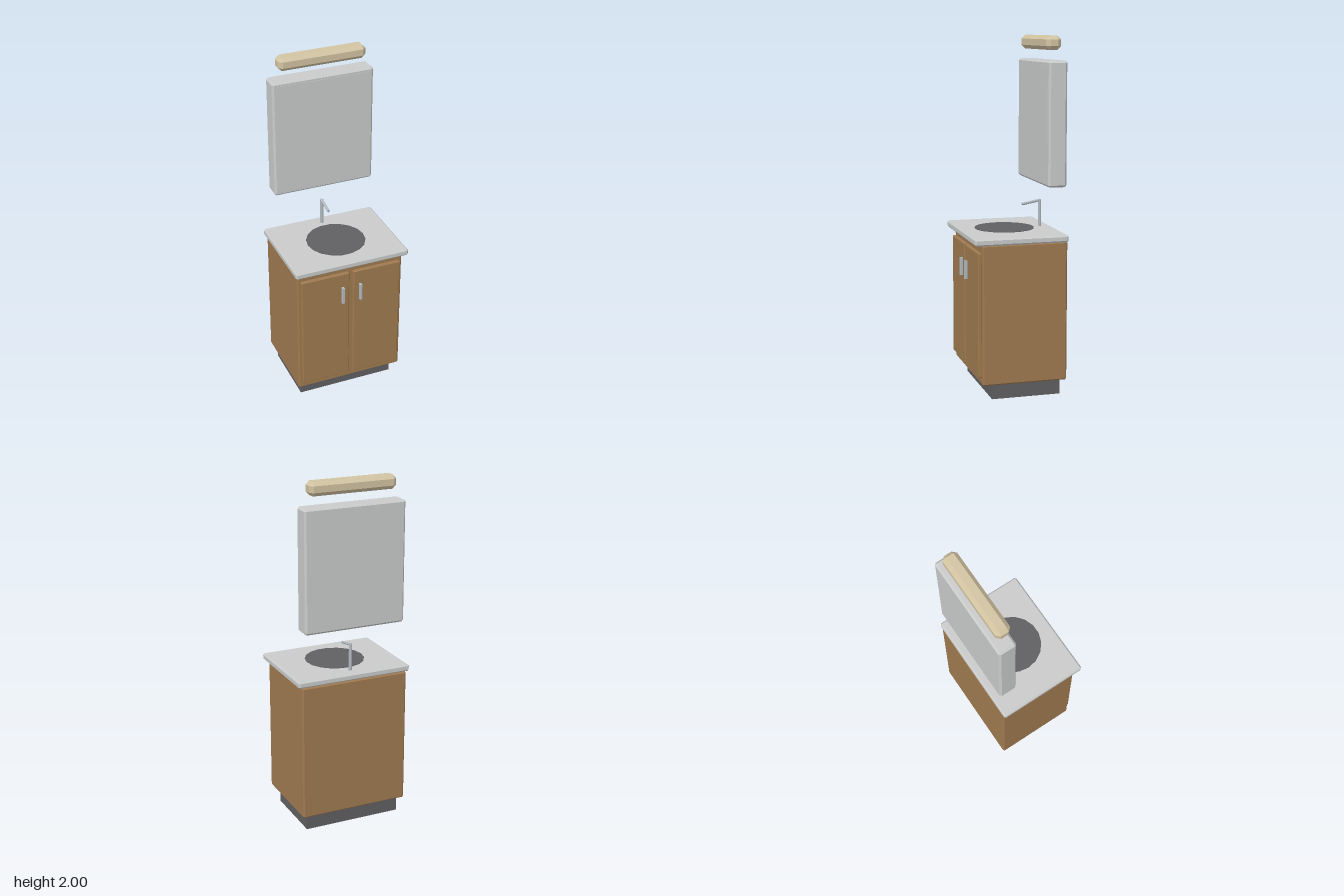
import * as THREE from 'three';
import { ConvexGeometry } from 'three/addons/geometries/ConvexGeometry.js';

const mat = (name, color) => new THREE.MeshStandardMaterial({ name, color, flatShading: true });

// Box with bevelled edges and corners: three points per corner.
function bevelledBox(w, h, d, c) {
  const points = [];
  for (const sx of [-1, 1]) for (const sy of [-1, 1]) for (const sz of [-1, 1]) {
    const x = w / 2, y = h / 2, z = d / 2;
    points.push(
      new THREE.Vector3(sx * x, sy * (y - c), sz * (z - c)),
      new THREE.Vector3(sx * (x - c), sy * y, sz * (z - c)),
      new THREE.Vector3(sx * (x - c), sy * (y - c), sz * z));
  }
  return new ConvexGeometry(points);
}

export function createModel() {
  const group = new THREE.Group();
  group.name = 'bathroomVanity';

  const wood = mat('wood', 0x9f7a50);
  const dark = mat('darkGrey', 0x606062);
  const pale = mat('paleGrey', 0xc9cbca);
  const chrome = mat('chrome', 0xb2bac0);
  const cream = mat('creamGlass', 0xd2c4a2);

  const add = (name, geometry, material) => {
    const mesh = new THREE.Mesh(geometry, material);
    mesh.name = name;
    group.add(mesh);
    return mesh;
  };

  // Box given by its extents, bevelled when c > 0
  const block = (name, material, [x0, x1], [y0, y1], [z0, z1], c = 0) => {
    const size = [x1 - x0, y1 - y0, z1 - z0];
    const geometry = c ? bevelledBox(...size, c) : new THREE.BoxGeometry(...size);
    add(name, geometry, material).position.set((x0 + x1) / 2, (y0 + y1) / 2, (z0 + z1) / 2);
  };

  // Round bar between two points
  const bar = (name, material, a, b, radius) => {
    const from = new THREE.Vector3(...a), to = new THREE.Vector3(...b);
    const dir = to.clone().sub(from);
    const mesh = add(name, new THREE.CylinderGeometry(radius, radius, dir.length(), 8), material);
    mesh.position.copy(from).add(to).multiplyScalar(0.5);
    mesh.quaternion.setFromUnitVectors(new THREE.Vector3(0, 1, 0), dir.normalize());
  };

  // Base cabinet
  block('plinth', dark, [-0.287, 0.287], [0, 0.09], [-0.235, 0.16]);
  block('cabinet', wood, [-0.32, 0.32], [0.088, 0.876], [-0.265, 0.22], 0.008);

  // Pair of doors with pulls
  for (const [side, s] of [['left', 1], ['right', -1]]) {
    const span = (a, b) => [Math.min(s * a, s * b), Math.max(s * a, s * b)];
    block(side + 'Door', wood, span(0.012, 0.301), [0.13, 0.832], [0.217, 0.241], 0.005);
    block(side + 'DoorPull', chrome, span(0.046, 0.061), [0.64, 0.746], [0.239, 0.258], 0.002);
  }

  // Countertop and round basin
  block('countertop', pale, [-0.34, 0.34], [0.875, 0.915], [-0.265, 0.265], 0.009);
  add('basin', new THREE.CylinderGeometry(0.17, 0.17, 0.005, 18, 1, false, Math.PI / 2), dark)
    .position.set(0, 0.9155, 0.01);

  // Tap
  bar('tapRiser', chrome, [0, 0.913, -0.201], [0, 1.069, -0.201], 0.01);
  bar('tapSpout', chrome, [0, 1.066, -0.204], [0, 1.046, -0.096], 0.008);

  // Wall mirror cabinet
  block('mirrorCabinet', pale, [-0.298, 0.298], [1.175, 1.865], [-0.265, -0.16], 0.011);
  block('mirrorGlass', pale, [-0.276, 0.276], [1.197, 1.843], [-0.163, -0.158]);

  // Lamp above the mirror
  block('lamp', cream, [-0.255, 0.255], [1.922, 2.0], [-0.246, -0.16], 0.021);

  return group;
}
